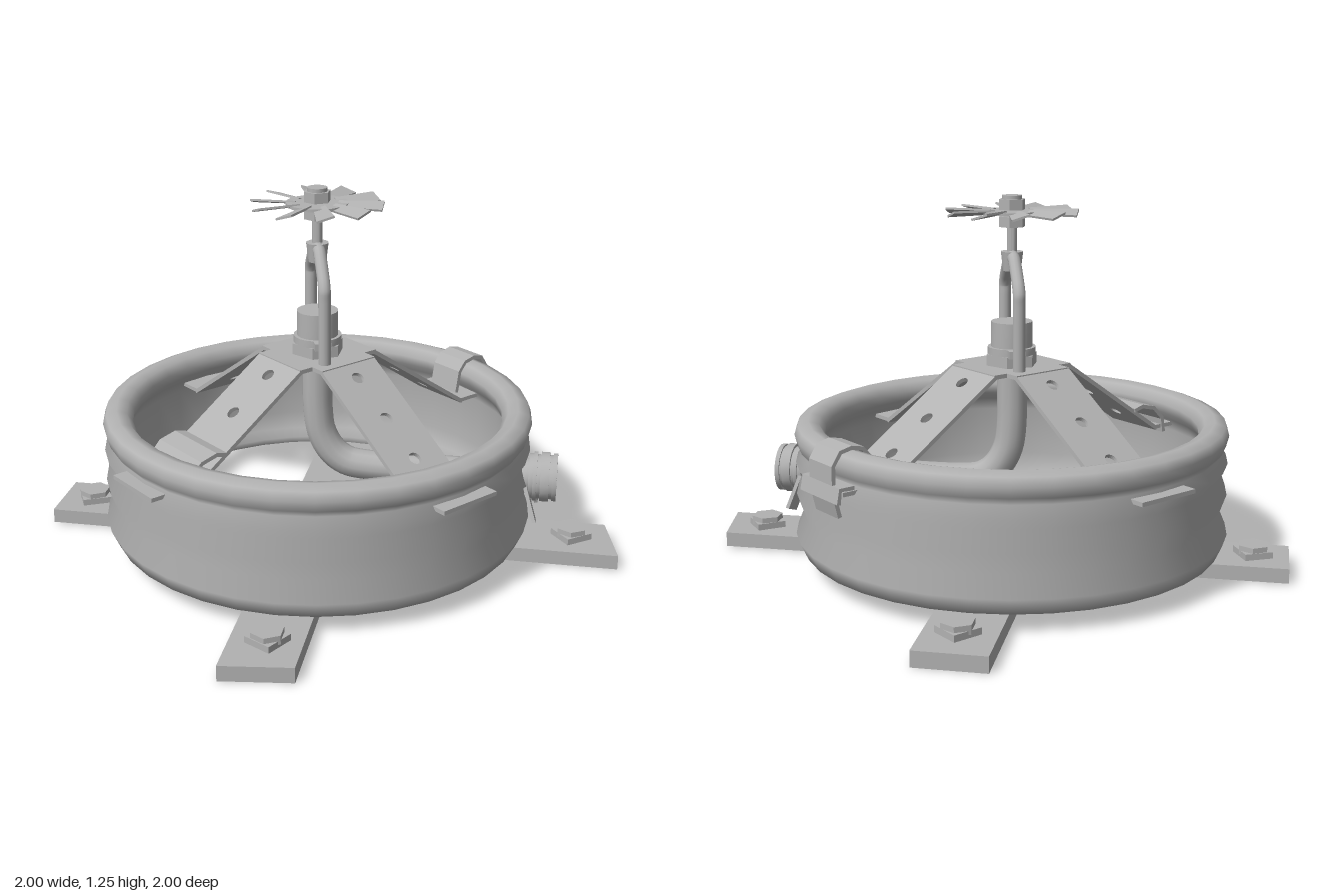
import * as THREE from 'three';
import { toCreasedNormals } from 'three/addons/utils/BufferGeometryUtils.js';

const metal = new THREE.MeshStandardMaterial({ color: 0xb2b2b2 });
metal.name = 'grey metal';

const V = (x, y, z) => new THREE.Vector3(x, y, z);

function add(parent, name, geometry, x = 0, y = 0, z = 0) {
  const mesh = new THREE.Mesh(geometry, metal);
  mesh.name = name;
  mesh.position.set(x, y, z);
  parent.add(mesh);
  return mesh;
}

// Flat outline in x/z (given as x, -z) extruded upwards
function slab(shape, thickness) {
  return new THREE.ExtrudeGeometry(shape, { depth: thickness, bevelEnabled: false, curveSegments: 12 })
    .rotateX(-Math.PI / 2);
}

const outline = (pts) => new THREE.Shape(pts.map(([x, z]) => new THREE.Vector2(x, -z)));

function lathe(points, segments) {
  return new THREE.LatheGeometry(points.map(([r, y]) => new THREE.Vector2(r, y)), segments);
}

const cylinder = (r, h, sides = 20, r2 = r) =>
  toCreasedNormals(new THREE.CylinderGeometry(r2, r, h, sides), 0.7);

function rod(points, radius, tension, steps = 48) {
  const curve = new THREE.CatmullRomCurve3(points, false, 'catmullrom', tension);
  return new THREE.TubeGeometry(curve, steps, radius, 12);
}

// Bent sheet following a path of [radius, height] points
function strap(path, width, thickness = 0.014) {
  const offset = path.map((p, i) => {
    const a = path[Math.max(i - 1, 0)], b = path[Math.min(i + 1, path.length - 1)];
    const l = Math.hypot(b[0] - a[0], b[1] - a[1]);
    return [p[0] + (b[1] - a[1]) / l * thickness, p[1] - (b[0] - a[0]) / l * thickness];
  });
  const shape = new THREE.Shape([...path, ...offset.reverse()].map(([x, y]) => new THREE.Vector2(x, y)));
  return new THREE.ExtrudeGeometry(shape, { depth: width, bevelEnabled: false }).translate(0, 0, -width / 2);
}

export function createModel() {
  const model = new THREE.Group();
  model.name = 'sprinkler';

  // Crossed base planks, each with one skewed end
  add(model, 'sidePlank', slab(outline([[-1, 0.1], [1, 0.105], [0.955, -0.125], [-1, -0.135]]), 0.05), 0, 0.005, 0);
  add(model, 'lengthPlank', slab(outline([[-0.165, 0.995], [0.065, 0.965], [0.065, -1], [-0.165, -1]]), 0.052), 0, 0, 0);

  // Plank bolts with washers
  [[-0.88, -0.015], [0.84, -0.015], [-0.045, -0.86], [-0.045, 0.84]].forEach(([x, z], i) => {
    const washer = add(model, 'washer', new THREE.BoxGeometry(0.1, 0.022, 0.1), x, 0.066, z);
    washer.rotation.y = 0.45 + i * 0.2;
    add(model, 'bolt', cylinder(0.054, 0.03, 6), x, 0.08, z);
  });

  const body = new THREE.Group();
  body.name = 'body';
  body.position.set(-0.05, 0, -0.012);
  model.add(body);

  // Wheel rim with rolled lips and ribbed outside
  const rim = [
    [0.655, 0.065], [0.715, 0.065], [0.74, 0.12], [0.71, 0.19], [0.735, 0.26], [0.71, 0.33], [0.735, 0.37],
    [0.708, 0.405], [0.728, 0.43], [0.737, 0.465], [0.726, 0.495], [0.69, 0.508], [0.655, 0.498], [0.635, 0.468],
    [0.64, 0.435], [0.668, 0.405], [0.69, 0.36], [0.69, 0.18], [0.67, 0.12], [0.645, 0.09], [0.655, 0.065],
  ];
  add(body, 'wheelRim', lathe(rim, 36));

  // Four sloping support bars with flat feet through the rim
  const slope = Math.atan2(0.29, 0.43), barLength = Math.hypot(0.29, 0.43), width = 0.227;
  for (let i = 0; i < 4; i++) {
    const arm = new THREE.Group();
    arm.name = 'supportArm';
    arm.rotation.y = -THREE.MathUtils.degToRad(40.5 + 90 * i);
    body.add(arm);

    const shape = outline([[0, width / 2], [barLength, width / 2], [barLength, -width / 2], [0, -width / 2]]);
    for (const r of [0.21, 0.355, 0.495]) {
      const hole = new THREE.Path();
      hole.absarc((r - 0.16) / Math.cos(slope), 0, 0.022, 0, Math.PI * 2, true);
      shape.holes.push(hole);
    }
    const bar = add(arm, 'supportBar', slab(shape, 0.014), 0.155, 0.668, 0);
    bar.rotation.z = -slope;
    add(arm, 'barTop', new THREE.BoxGeometry(0.17, 0.014, width), 0.08, 0.675, 0);
    add(arm, 'barFoot', new THREE.BoxGeometry(0.175, 0.014, width), 0.668, 0.39, 0);

    // Bent clips on two of the arms
    if (i === 1) {
      add(arm, 'innerClip', strap([[0.47, 0.475], [0.51, 0.485], [0.57, 0.47], [0.615, 0.425], [0.625, 0.37]], 0.24));
    }
    if (i === 3) {
      add(arm, 'rimClip', strap([[0.6, 0.4], [0.615, 0.48], [0.645, 0.515], [0.69, 0.525], [0.735, 0.515], [0.765, 0.47], [0.765, 0.38], [0.745, 0.3]], 0.13));
      add(arm, 'footFlap', strap([[0.71, 0.41], [0.765, 0.41], [0.775, 0.36]], 0.215));
    }
  }

  // Feed pipe from the hub, bending out to the side inlet
  add(body, 'feedPipe', rod([V(0, 0.7, 0), V(0, 0.48, 0), V(0.02, 0.37, 0), V(0.08, 0.295, 0), V(0.18, 0.272, 0), V(0.45, 0.272, 0), V(0.735, 0.272, 0)], 0.052, 0.5, 60));

  // Ribbed hose coupling with an open bore
  const coupling = lathe([
    [0.04, 0], [0.06, 0], [0.06, 0.03], [0.078, 0.03], [0.078, 0.045], [0.085, 0.045], [0.085, 0.058],
    [0.076, 0.058], [0.076, 0.07], [0.085, 0.07], [0.085, 0.1], [0.076, 0.1], [0.076, 0.11], [0.082, 0.11],
    [0.082, 0.125], [0.045, 0.125], [0.04, 0.06], [0.04, 0],
  ], 20);
  add(body, 'hoseCoupling', toCreasedNormals(coupling.rotateZ(-Math.PI / 2), 0.6), 0.705, 0.275, 0);

  // Bent rim flaps around the coupling
  for (const side of [-1, 1]) {
    const flap = add(body, 'rimFlap', new THREE.BoxGeometry(0.012, 0.12, 0.085), 0.745, 0.21, side * 0.09);
    flap.rotation.set(-side * 0.35, 0, 0.3);
  }

  // Hub nut and barrel
  add(body, 'hubNut', cylinder(0.09, 0.04, 6), 0, 0.7, 0);
  add(body, 'hubFlange', cylinder(0.082, 0.025, 20), 0, 0.732, 0);
  add(body, 'hubBarrel', cylinder(0.07, 0.1, 24), 0, 0.78, 0);

  // Two yoke arms meeting below the spindle
  for (const s of [-1, 1]) {
    const at = (k, y) => V(s * 0.048 * k, y, s * 0.13 * k);
    add(body, 'yokeArm', rod([at(1, 0.685), at(1, 0.9), at(1, 0.935), at(0.88, 0.965), at(0.35, 1.04), at(0.05, 1.05)], 0.021, 0.3));
    const ear = add(body, 'yokeEar', new THREE.BoxGeometry(0.055, 0.025, 0.06), s * 0.028, 0.732, s * 0.075);
    ear.rotation.y = 0.35;
  }
  add(body, 'yokeCollar', cylinder(0.03, 0.065, 16, 0.038), 0, 1.033, 0);

  // Spindle and nuts
  add(body, 'spindle', cylinder(0.017, 0.18, 14), 0, 1.13, 0);
  add(body, 'lowerNut', cylinder(0.046, 0.035, 6), 0, 1.165, 0);
  add(body, 'upperNut', cylinder(0.046, 0.035, 6), 0, 1.222, 0);
  add(body, 'spindleCap', cylinder(0.034, 0.018, 16), 0, 1.243, 0);

  // Toothed deflector with twisted blades
  add(body, 'deflectorDisc', cylinder(0.105, 0.01, 20), 0, 1.197, 0);
  for (let i = 0; i < 10; i++) {
    const holder = new THREE.Group();
    holder.name = 'deflectorTooth';
    holder.position.y = 1.197;
    holder.rotation.y = i * Math.PI / 5;
    body.add(holder);
    const blade = slab(outline([[0.07, 0.02], [0.22, 0.03], [0.22, -0.03], [0.07, -0.02]]), 0.007);
    add(holder, 'blade', blade, 0, -0.003, 0).rotation.x = 0.3;
  }
  return model;
}
